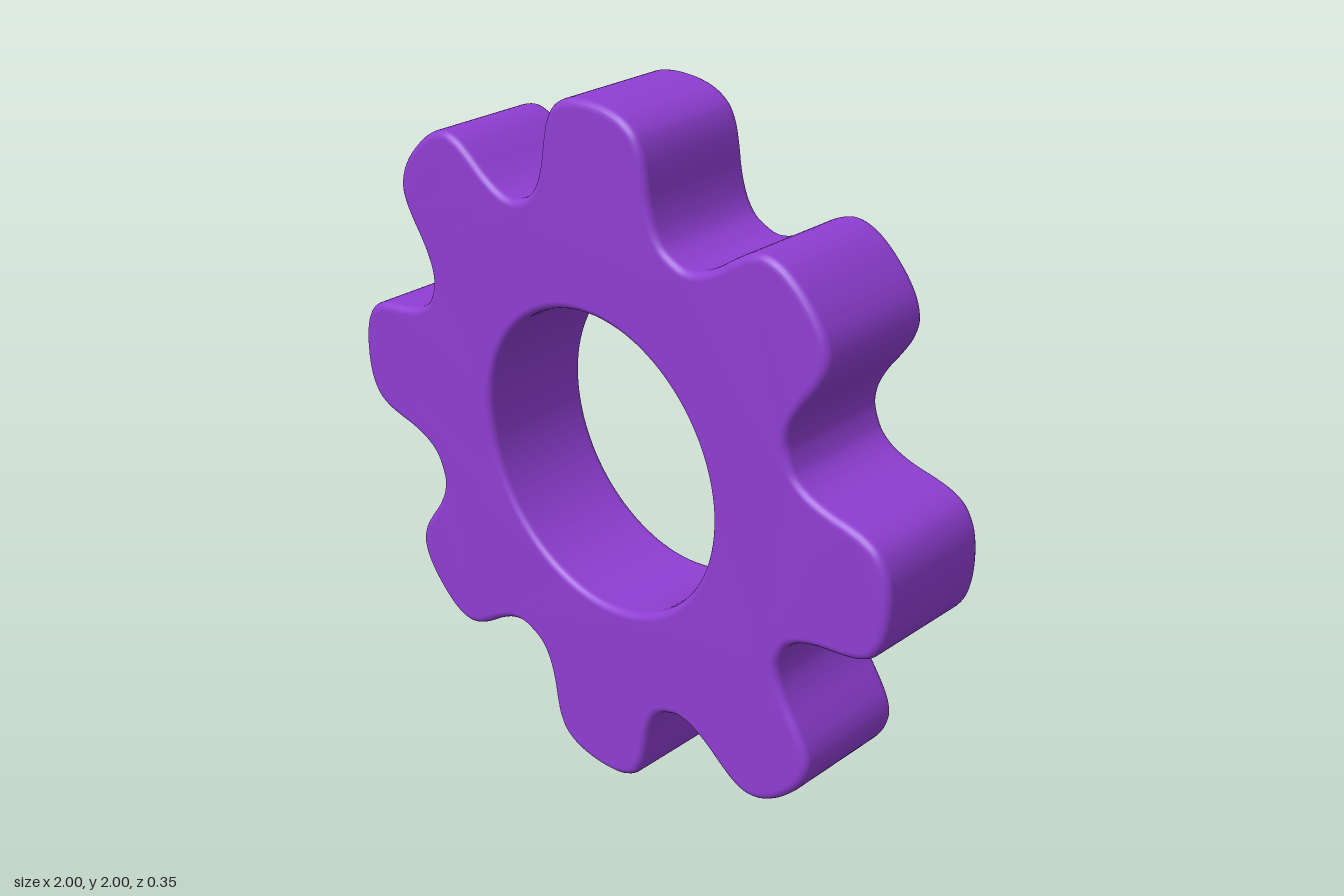
import * as THREE from 'three';
import { mergeVertices } from 'three/addons/utils/BufferGeometryUtils.js';

const TEETH = 8, HALF_DEPTH = 0.174, BEVEL = 0.022, HOLE_RADIUS = 0.43;

// Half a tooth, from the middle of the tip down to the middle of the valley
const HALF_TOOTH = [
  [0, 1], [0.05, 0.997], [0.1, 0.985], [0.145, 0.957], [0.17, 0.915], [0.184, 0.86],
  [0.193, 0.805], [0.204, 0.762], [0.221, 0.722], [0.246, 0.691], [0.279, 0.673],
];

// Mirror the half tooth and repeat it counter-clockwise as one smooth outline
function gearOutline() {
  const right = HALF_TOOTH.map(([x, y]) => new THREE.Vector3(x, y, 0)).reverse();
  const left = right.slice(1, -1).reverse().map((p) => new THREE.Vector3(-p.x, p.y, 0));
  const tooth = [...right, ...left];
  const points = [];
  const axis = new THREE.Vector3(0, 0, 1);
  for (let i = 0; i < TEETH; i++) {
    const angle = i * Math.PI * 2 / TEETH;
    tooth.forEach((p) => points.push(p.clone().applyAxisAngle(axis, angle)));
  }
  const curve = new THREE.CatmullRomCurve3(points, true, 'centripetal');
  return curve.getPoints(points.length * 4).slice(0, -1)
    .map((p) => new THREE.Vector2(p.x, p.y));
}

export function createModel() {
  const group = new THREE.Group();
  group.name = 'gear';

  // Toothed outline with a round centre hole
  const shape = new THREE.Shape(gearOutline());
  const hole = new THREE.Path();
  hole.absarc(0, 0, HOLE_RADIUS, 0, Math.PI * 2, true);
  shape.holes.push(hole);

  // Thick body with softly rounded rims
  let geometry = new THREE.ExtrudeGeometry(shape, {
    depth: 2 * (HALF_DEPTH - BEVEL),
    curveSegments: 48,
    bevelEnabled: true,
    bevelThickness: BEVEL,
    bevelSize: BEVEL,
    bevelOffset: -BEVEL,
    bevelSegments: 5,
  });
  geometry.translate(0, 1, BEVEL - HALF_DEPTH);

  // Weld the surface so shading runs smoothly over the rims
  geometry.deleteAttribute('uv');
  geometry.deleteAttribute('normal');
  geometry = mergeVertices(geometry, 1e-5);
  geometry.computeVertexNormals();

  const wheel = new THREE.Mesh(geometry, new THREE.MeshStandardMaterial({ color: 0x8f3ed2 }));
  wheel.name = 'gearWheel';
  group.add(wheel);
  return group;
}
